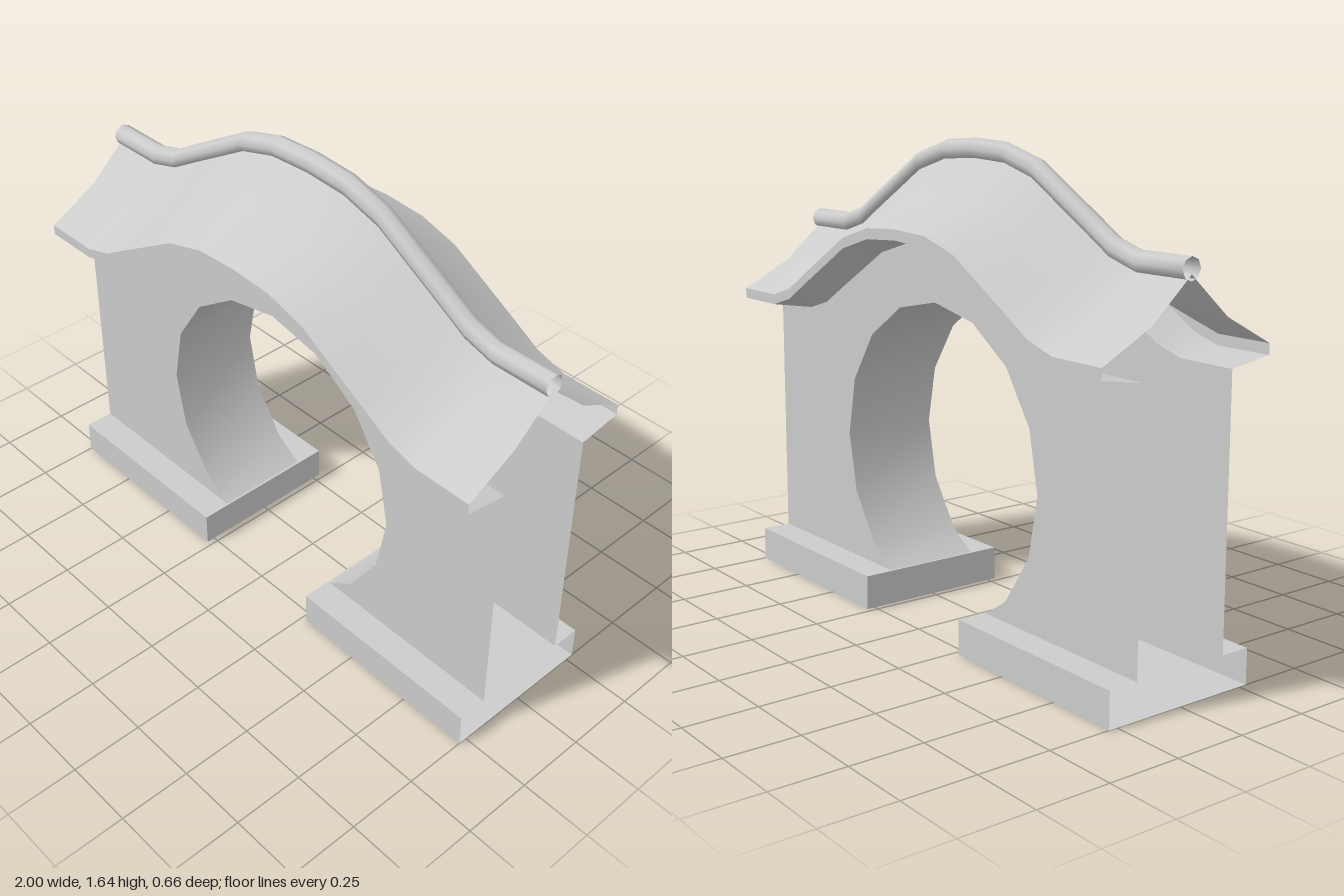
import * as THREE from 'three';
import { mergeVertices } from 'three/addons/utils/BufferGeometryUtils.js';

const material = new THREE.MeshStandardMaterial({ color: 0xcccccc, side: THREE.DoubleSide });

// half of the wavy roof line: [x, rise above the ends]
const halfWave = [[0, 0.297], [0.163, 0.288], [0.313, 0.245], [0.455, 0.163],
  [0.57, 0.097], [0.68, 0.032], [0.79, 0], [1, 0]];
const wave = [...halfWave.slice(1).reverse().map(([x, h]) => [-x, h]), ...halfWave];

const wallZ = 0.175, baseZ = 0.28, baseTop = 0.12, baseInner = 0.27;
const holeY = 0.57, holeR = 0.5385;

function addMesh(parent, name, geometry) {
  const mesh = new THREE.Mesh(geometry, material);
  mesh.name = name;
  parent.add(mesh);
}

// smooth surface through rows of points
function surface(rows) {
  const m = rows[0].length, index = [];
  for (let i = 0; i < rows.length - 1; i++) {
    for (let j = 0; j < m - 1; j++) {
      const a = i * m + j, c = a + m;
      index.push(a, a + 1, c, a + 1, c + 1, c);
    }
  }
  let geometry = new THREE.BufferGeometry();
  geometry.setAttribute('position', new THREE.Float32BufferAttribute(rows.flat(2), 3));
  geometry.setIndex(index);
  geometry = mergeVertices(geometry);
  geometry.computeVertexNormals();
  return geometry;
}

// carry a [z, y] section along a path of [x, rise]
const sweep = (section, path) =>
  surface(path.map(([x, h]) => section.map(([z, y]) => [x, y + h, z])));

// opening outline, from its right foot over the top to its left foot
function holeOutline() {
  const points = [];
  for (let k = -3; k <= 11; k++) {
    const a = k * Math.PI / 8;
    points.push([holeR * Math.cos(a), holeY + holeR * Math.sin(a)]);
  }
  points[0] = [0.278, baseTop];
  points[points.length - 1] = [-0.278, baseTop];
  return points;
}

// everything on the front side of the ridge
function createHalf() {
  const half = new THREE.Group();

  // roof slope, eave lip and soffit
  addMesh(half, 'roofSlope', sweep([[0, 1.29], [0.03, 1.262], [0.15, 1.155], [0.33, 1.06]], wave));
  addMesh(half, 'eaveLip', sweep([[0.33, 1.06], [0.33, 1.024]], wave));
  addMesh(half, 'eaveSoffit', sweep([[0.33, 1.024], [wallZ, 1.0]], wave));

  // wall panel with the round opening
  const outline = [
    ...holeOutline().reverse(),
    [1, baseTop],
    ...wave.map(([x, h]) => [x, 1 + h]).reverse(),
    [-1, baseTop],
  ].map(([x, y]) => new THREE.Vector2(x, y));
  const wall = new THREE.ShapeGeometry(new THREE.Shape(outline));
  wall.translate(0, 0, wallZ);
  addMesh(half, 'wallPanel', wall);

  // plinths, open at the outer ends
  for (const side of [-1, 1]) {
    const ends = side > 0 ? [[baseInner, 0], [1, 0]] : [[-1, 0], [-baseInner, 0]];
    const corners = [[wallZ, baseTop], [baseZ, baseTop], [baseZ, 0], [0, 0]];
    for (let i = 0; i < 3; i++) addMesh(half, 'plinth', sweep(corners.slice(i, i + 2), ends));

    // face toward the opening, and the narrow ledge above it
    const face = [0, baseZ].map(z => [[side * baseInner, 0, z], [side * baseInner, baseTop, z]]);
    if (side > 0) face.reverse();
    addMesh(half, 'plinthInnerFace', surface(face));
    const xs = side > 0 ? [baseInner, 0.278] : [-0.278, -baseInner];
    addMesh(half, 'plinthLedge', sweep([[0, baseTop], [wallZ, baseTop]], xs.map(x => [x, 0])));
  }
  return half;
}

export function createModel() {
  const model = new THREE.Group();
  model.name = 'moonGate';

  const front = createHalf();
  front.name = 'frontHalf';
  const back = createHalf();
  back.name = 'backHalf';
  back.rotation.y = Math.PI;
  model.add(front, back);

  // lining of the round opening
  addMesh(model, 'openingLining', surface([wallZ, -wallZ].map(z =>
    holeOutline().map(([x, y]) => [x, y, z]))));

  // ridge tube following the wave
  const ring = [];
  for (let k = 0; k <= 8; k++) {
    const a = k * Math.PI / 4;
    ring.push([0.036 * Math.sin(a), 1.305 + 0.036 * Math.cos(a)]);
  }
  addMesh(model, 'ridgeTube', sweep(ring, wave));

  return model;
}
